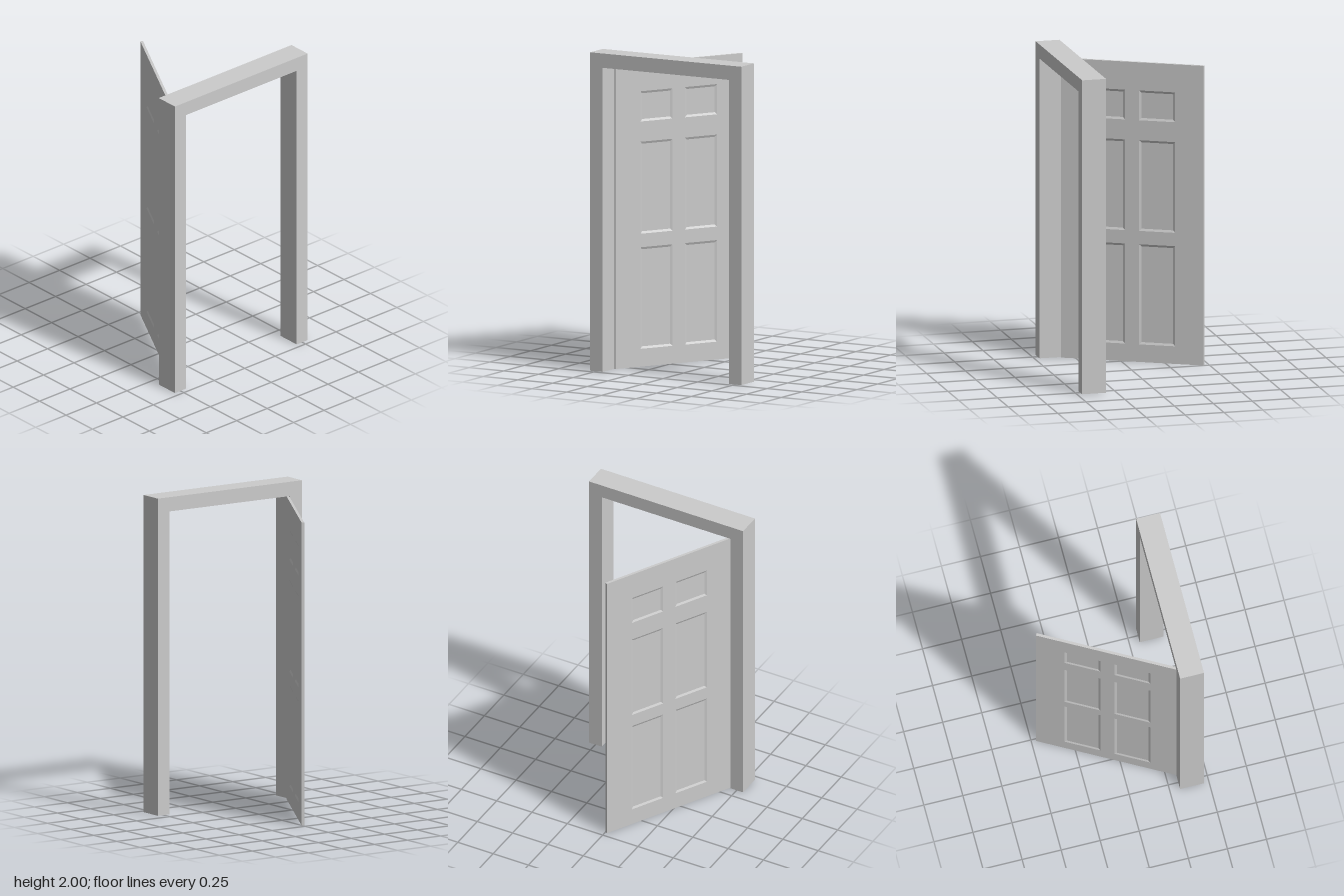
import * as THREE from 'three';

const material = new THREE.MeshStandardMaterial({ color: 0xcccccc, flatShading: true });

function addMesh(parent, name, geometry) {
  const mesh = new THREE.Mesh(geometry, material);
  mesh.name = name;
  parent.add(mesh);
  return mesh;
}

// Counter-clockwise rectangle as points
function rect(x0, y0, x1, y1) {
  return [[x0, y0], [x1, y0], [x1, y1], [x0, y1]].map(([x, y]) => new THREE.Vector2(x, y));
}

// Sunken panel facing +z: sloped moulding around a flat floor
function sunkenPanel(w, h, zFace, zFloor, bevel) {
  const positions = [];
  for (const [inset, z] of [[0, zFace], [bevel, zFloor]]) {
    const x = w / 2 - inset, y = h / 2 - inset;
    for (const p of rect(-x, -y, x, y)) positions.push(p.x, p.y, z);
  }
  const index = [4, 5, 6, 4, 6, 7];
  for (let i = 0; i < 4; i++) {
    const j = (i + 1) % 4;
    index.push(i, j, j + 4, i, j + 4, i + 4);
  }
  const geometry = new THREE.BufferGeometry();
  geometry.setAttribute('position', new THREE.Float32BufferAttribute(positions, 3));
  geometry.setIndex(index);
  const flat = geometry.toNonIndexed();
  flat.computeVertexNormals();
  return flat;
}

export function createModel() {
  const model = new THREE.Group();
  model.name = 'openDoor';

  // Door frame: two posts and a lintel in one outline
  const outline = new THREE.Shape([
    [-0.545, 0], [-0.455, 0], [-0.455, 1.91], [0.455, 1.91],
    [0.455, 0], [0.545, 0], [0.545, 2], [-0.545, 2],
  ].map(([x, y]) => new THREE.Vector2(x, y)));
  const frame = addMesh(model, 'doorFrame',
    new THREE.ExtrudeGeometry(outline, { depth: 0.153, bevelEnabled: false }));
  frame.position.z = 0.315;

  // Door leaf, swung open around its hinge edge
  const width = 0.91, height = 1.909, thickness = 0.017;
  const door = new THREE.Group();
  door.name = 'door';
  door.position.set(-0.455, 0, 0.325);
  door.rotation.y = THREE.MathUtils.degToRad(61);
  model.add(door);

  const columns = [[0.178, 0.408], [0.498, 0.728]];
  const rows = [[0.112, 0.75], [0.835, 1.413], [1.54, 1.73]];
  const leaf = new THREE.Shape(rect(0, 0, width, height));

  for (const [x0, x1] of columns) {
    for (const [y0, y1] of rows) {
      leaf.holes.push(new THREE.Path(rect(x0, y0, x1, y1).reverse()));
      // The same panel on both faces of the leaf
      for (const [name, turn] of [['frontPanel', 0], ['backPanel', Math.PI]]) {
        const panel = addMesh(door, name,
          sunkenPanel(x1 - x0, y1 - y0, thickness / 2, thickness / 2 - 0.006, 0.014));
        panel.position.set((x0 + x1) / 2, (y0 + y1) / 2, thickness / 2);
        panel.rotation.y = turn;
      }
    }
  }
  addMesh(door, 'doorLeaf',
    new THREE.ExtrudeGeometry(leaf, { depth: thickness, bevelEnabled: false }));

  return model;
}
